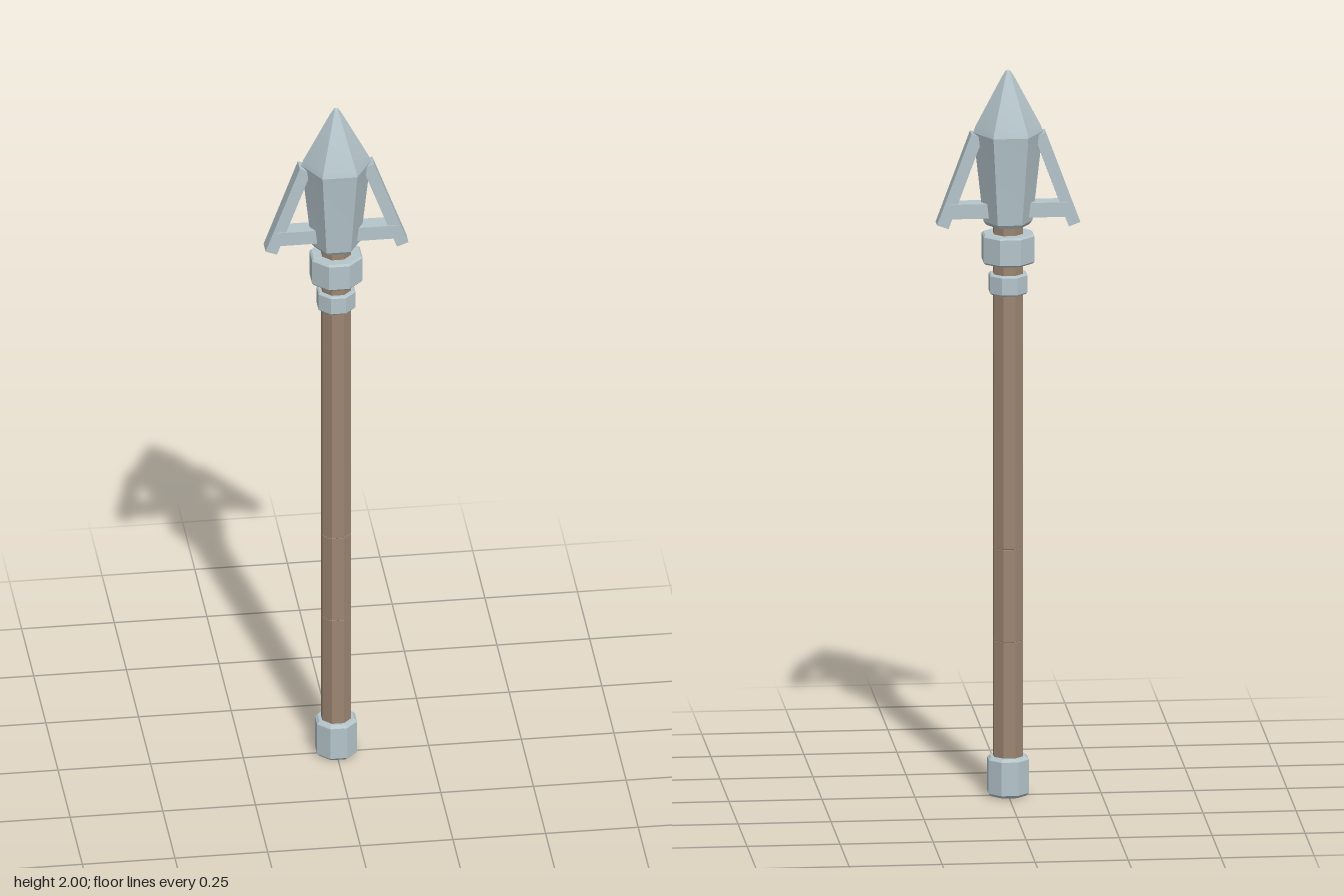
import * as THREE from 'three';
import { toCreasedNormals } from 'three/addons/utils/BufferGeometryUtils.js';

const metal = new THREE.MeshStandardMaterial({ color: 0xb5c5cb });
metal.name = 'paleSteel';
const wood = new THREE.MeshStandardMaterial({ color: 0x9c8672 });
wood.name = 'brownWood';

// Faceted solid of revolution; profile runs from bottom to top as [radius, y]
function faceted(name, profile, sides, start, material) {
  const points = profile.map(([r, y]) => new THREE.Vector2(r, y));
  const lathe = new THREE.LatheGeometry(points, sides, start);
  const mesh = new THREE.Mesh(toCreasedNormals(lathe, 0.15), material);
  mesh.name = name;
  return mesh;
}

// Octagonal part with chamfered rims; size is half the width across flats
function octagon(name, size, y0, y1, bevel, material) {
  const r = size / Math.cos(Math.PI / 8);
  return faceted(name, [
    [0, y0], [r - bevel, y0], [r, y0 + bevel],
    [r, y1 - bevel], [r - bevel, y1], [0, y1],
  ], 8, Math.PI / 8, material);
}

export function createModel() {
  const model = new THREE.Group();
  model.name = 'spear';

  // Shaft in three lengths, its foot just showing below the cap
  [[0, 0.43], [0.43, 0.685], [0.685, 1.59]].forEach(([y0, y1], i) =>
    model.add(octagon('shaftSection' + (i + 1), 0.039, y0, y1, 0.001, wood)));

  // Butt cap and the two collars
  model.add(octagon('buttCap', 0.054, 0.002, 0.11, 0.008, metal));
  model.add(octagon('lowerCollar', 0.05, 1.385, 1.44, 0.004, metal));
  model.add(octagon('upperCollar', 0.068, 1.47, 1.55, 0.005, metal));

  // Six-sided head with softened shoulder and tip
  model.add(faceted('spearHead', [
    [0, 1.573], [0.058, 1.573], [0.066, 1.583], [0.092, 1.815],
    [0.094, 1.828], [0.088, 1.845], [0.016, 1.982], [0.007, 1.996], [0, 2],
  ], 6, Math.PI / 2, metal));

  // Mirrored barbs: a slanted blade braced by a level strut
  for (const side of [1, -1]) {
    const barb = new THREE.Group();
    barb.name = side > 0 ? 'leftBarb' : 'rightBarb';
    const blade = new THREE.Mesh(new THREE.BoxGeometry(0.033, 0.266, 0.042), metal);
    blade.name = 'barbBlade';
    blade.position.set(side * 0.131, 1.699, 0);
    blade.rotation.z = side * 0.355;
    const strut = new THREE.Mesh(new THREE.BoxGeometry(0.125, 0.04, 0.048), metal);
    strut.name = 'barbStrut';
    strut.position.set(side * 0.1025, 1.616, 0);
    barb.add(blade, strut);
    model.add(barb);
  }
  return model;
}
